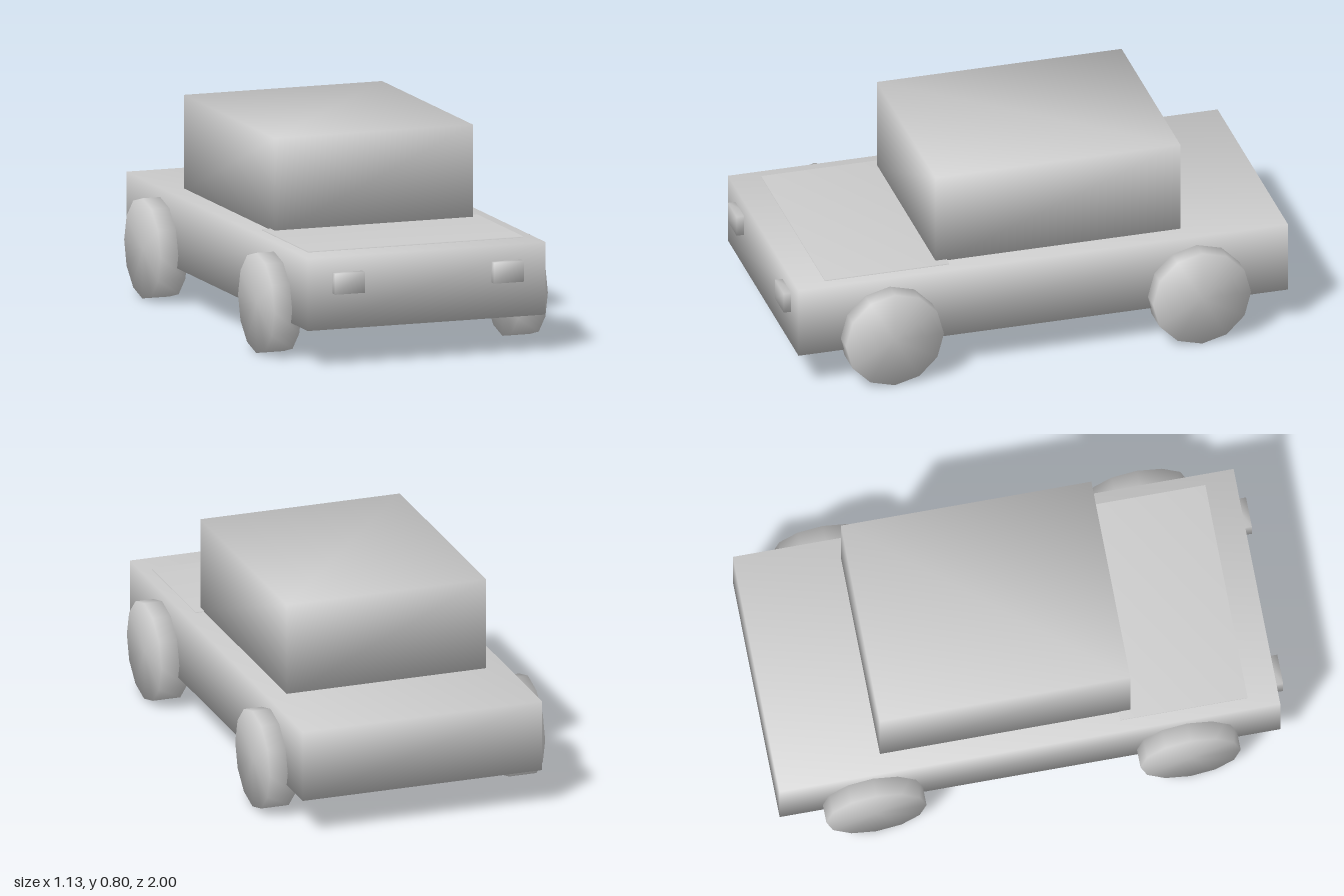
import * as THREE from 'three';
import { mergeVertices } from 'three/addons/utils/BufferGeometryUtils.js';

const paint = new THREE.MeshStandardMaterial({ color: 0xcccccc });
paint.name = 'light grey';

// Share corner vertices so the shading rolls softly over every edge
function weld(geometry) {
  geometry.deleteAttribute('uv');
  geometry.deleteAttribute('normal');
  const welded = mergeVertices(geometry, 1e-4);
  welded.computeVertexNormals();
  return welded;
}

// Box given by its [min, max] extent on each axis
function box(name, [x0, x1], [y0, y1], [z0, z1]) {
  const mesh = new THREE.Mesh(weld(new THREE.BoxGeometry(x1 - x0, y1 - y0, z1 - z0)), paint);
  mesh.position.set((x0 + x1) / 2, (y0 + y1) / 2, (z0 + z1) / 2);
  mesh.name = name;
  return mesh;
}

export function createModel() {
  const car = new THREE.Group();
  car.name = 'car';

  // Body, cabin and the thin raised hood panel
  car.add(box('body', [-0.492, 0.492], [0.147, 0.432], [-1, 0.97]));
  car.add(box('cabin', [-0.41, 0.41], [0.42, 0.8], [-0.59, 0.395]));
  car.add(box('hood', [-0.445, 0.445], [0.41, 0.437], [0.35, 0.85]));

  // Twelve-sided wheels with axles along x
  const wheelGeometry = weld(new THREE.CylinderGeometry(0.197, 0.197, 0.113, 12).rotateZ(Math.PI / 2));

  for (const side of [-1, 1]) {
    const label = side > 0 ? 'left' : 'right';

    const light = box(label + 'Headlight', [-0.061, 0.061], [0.288, 0.37], [0.94, 1]);
    light.position.x = side * 0.329;
    car.add(light);

    for (const [end, z] of [['Front', 0.603], ['Rear', -0.633]]) {
      const wheel = new THREE.Mesh(wheelGeometry, paint);
      wheel.position.set(side * 0.5095, 0.199, z);
      wheel.name = label + end + 'Wheel';
      car.add(wheel);
    }
  }
  return car;
}
